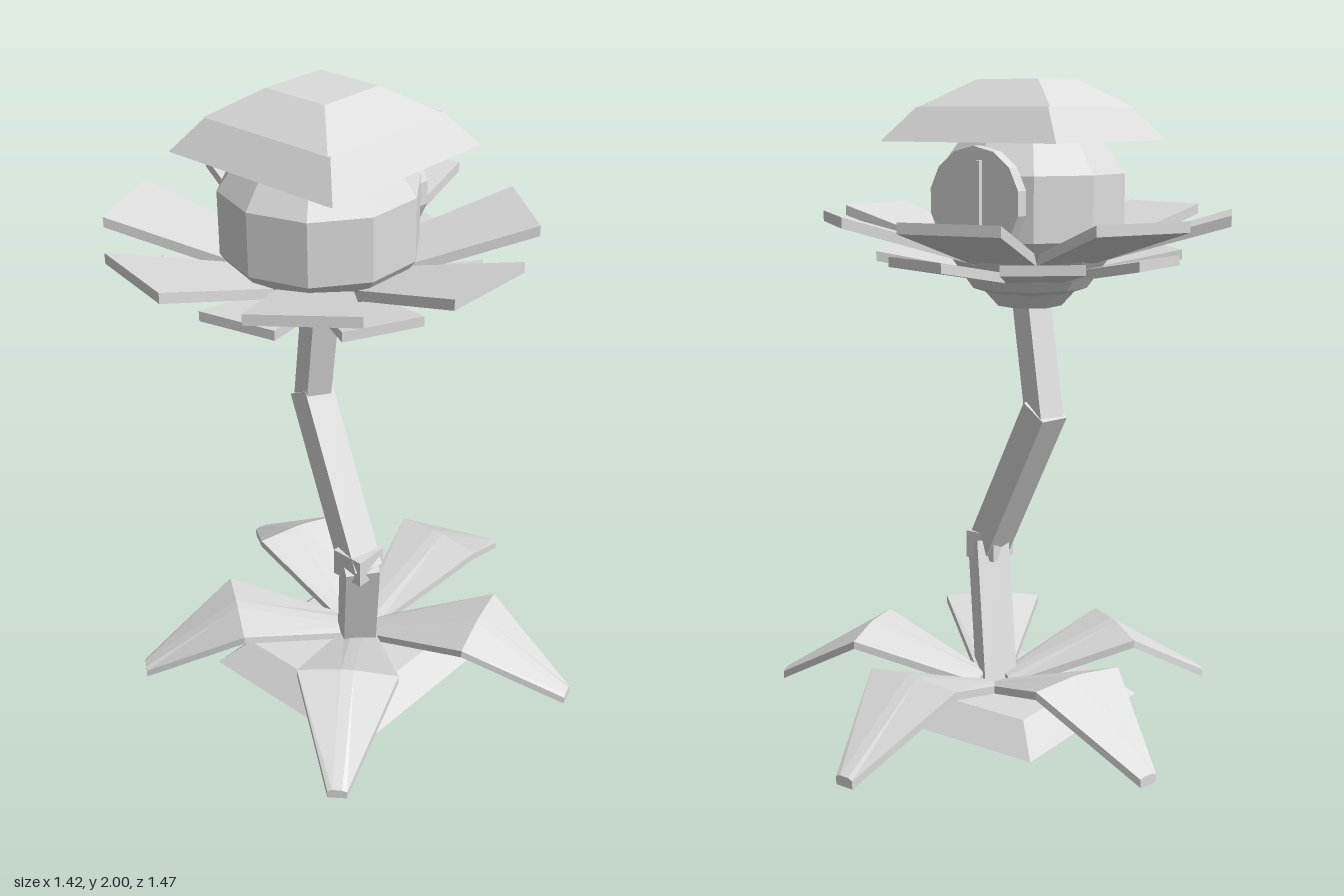
import * as THREE from 'three';

const paleGrey = new THREE.MeshStandardMaterial({ color: 0xdcdcdc, flatShading: true });
paleGrey.name = 'paleGrey';

function part(name, geometry, parent, x = 0, y = 0, z = 0) {
  const mesh = new THREE.Mesh(geometry, paleGrey);
  mesh.name = name;
  mesh.position.set(x, y, z);
  parent.add(mesh);
  return mesh;
}

// Solid blade along +x; each row is [distance, top height, half width, rib height]
function blade(rows, thickness) {
  const n = 6, pos = [], idx = [];
  for (const [r, y, w, rib] of rows) {
    const c = Math.min(0.02, w * 0.5);
    pos.push(r, y, w, r, y + rib, c, r, y + rib, -c, r, y, -w, r, y - thickness, -w, r, y - thickness, w);
  }
  for (let i = 0; i < rows.length - 1; i++) {
    for (let j = 0; j < n; j++) {
      const k = (j + 1) % n, a = i * n, b = a + n;
      idx.push(a + j, b + j, b + k, a + j, b + k, a + k);
    }
  }
  const last = (rows.length - 1) * n;
  for (let j = 1; j < n - 1; j++) {
    idx.push(0, j, j + 1, last, last + j + 1, last + j);
  }
  const g = new THREE.BufferGeometry();
  g.setAttribute('position', new THREE.Float32BufferAttribute(pos, 3));
  g.setIndex(idx);
  const flat = g.toNonIndexed();
  flat.computeVertexNormals();
  return flat;
}

// Ring of identical blades around a vertical axis
function bladeRing(name, geometry, count, start, parent, x, z) {
  const ring = new THREE.Group();
  ring.name = name + 'Ring';
  ring.position.set(x, 0, z);
  for (let i = 0; i < count; i++) {
    part(name, geometry, ring).rotation.y = -(start + (i * 2 * Math.PI) / count);
  }
  parent.add(ring);
}

// Square frustum with half widths at top and bottom
function squareFrustum(top, bottom, height) {
  const g = new THREE.CylinderGeometry(top * Math.SQRT2, bottom * Math.SQRT2, height, 4);
  return g.rotateY(Math.PI / 4);
}

// Square post between two points, turned about its own axis
function post(name, from, to, width, turn, parent) {
  const a = new THREE.Vector3(...from), b = new THREE.Vector3(...to);
  const dir = b.clone().sub(a);
  const g = new THREE.BoxGeometry(width, dir.length() + 0.03, width).rotateY(turn);
  const mesh = part(name, g, parent);
  mesh.position.copy(a).add(b).multiplyScalar(0.5);
  mesh.quaternion.setFromUnitVectors(new THREE.Vector3(0, 1, 0), dir.normalize());
}

export function createModel() {
  const model = new THREE.Group();
  model.name = 'mechanicalFlower';

  // Foot and ground leaves
  part('foot', squareFrustum(0.235, 0.315, 0.085), model, 0.015, 0.0425, 0.065);
  const leaf = blade([[0.04, 0.11, 0.05, 0.008], [0.42, 0.245, 0.16, 0.014], [0.735, 0.055, 0.03, 0.006]], 0.025);
  bladeRing('groundLeaf', leaf, 5, -Math.PI / 2, model, 0.01, 0);

  // Crooked stem
  const knee = [0.135, 0.5, 0.145], elbow = [-0.13, 0.99, 0.068];
  post('lowerStem', [0.035, 0.07, 0.05], knee, 0.108, -0.65, model);
  post('middleStem', knee, elbow, 0.1, -0.25, model);
  post('upperStem', elbow, [-0.055, 1.35, 0.105], 0.085, -0.36, model);
  part('kneeJoint', new THREE.BoxGeometry(0.11, 0.09, 0.11), model, 0.13, 0.51, 0.145);

  // Seven-sided cup under the bloom
  const cx = -0.05, cz = 0.105;
  const cup = new THREE.CylinderGeometry(0.19, 0.1, 0.1, 7).rotateY(Math.PI / 2);
  part('cup', cup, model, cx, 1.37, cz);

  // Two staggered rows of petals
  const lower = blade([[0.08, 1.42, 0.07, 0], [0.455, 1.49, 0.12, 0]], 0.03);
  bladeRing('lowerPetal', lower, 7, Math.PI / 7, model, cx, cz);
  const upper = blade([[0.08, 1.455, 0.09, 0], [0.61, 1.612, 0.153, 0]], 0.032);
  bladeRing('upperPetal', upper, 7, 0, model, cx, cz);

  // Faceted head
  const head = new THREE.SphereGeometry(0.31, 10, 5).rotateY(Math.PI / 10);
  part('head', head, model, cx, 1.63, cz);

  // Dial and handle on the back of the head
  const dial = new THREE.CylinderGeometry(0.16, 0.16, 0.04, 14).rotateX(Math.PI / 2);
  part('dial', dial, model, cx, 1.65, -0.167);
  part('dialHandle', new THREE.BoxGeometry(0.06, 0.24, 0.03), model, cx, 1.65, -0.187);

  // Stepped square cap
  part('capBrim', squareFrustum(0.233, 0.31, 0.1), model, cx, 1.87, 0.08);
  part('capTop', squareFrustum(0.11, 0.233, 0.08), model, cx, 1.96, 0.09);

  return model;
}
